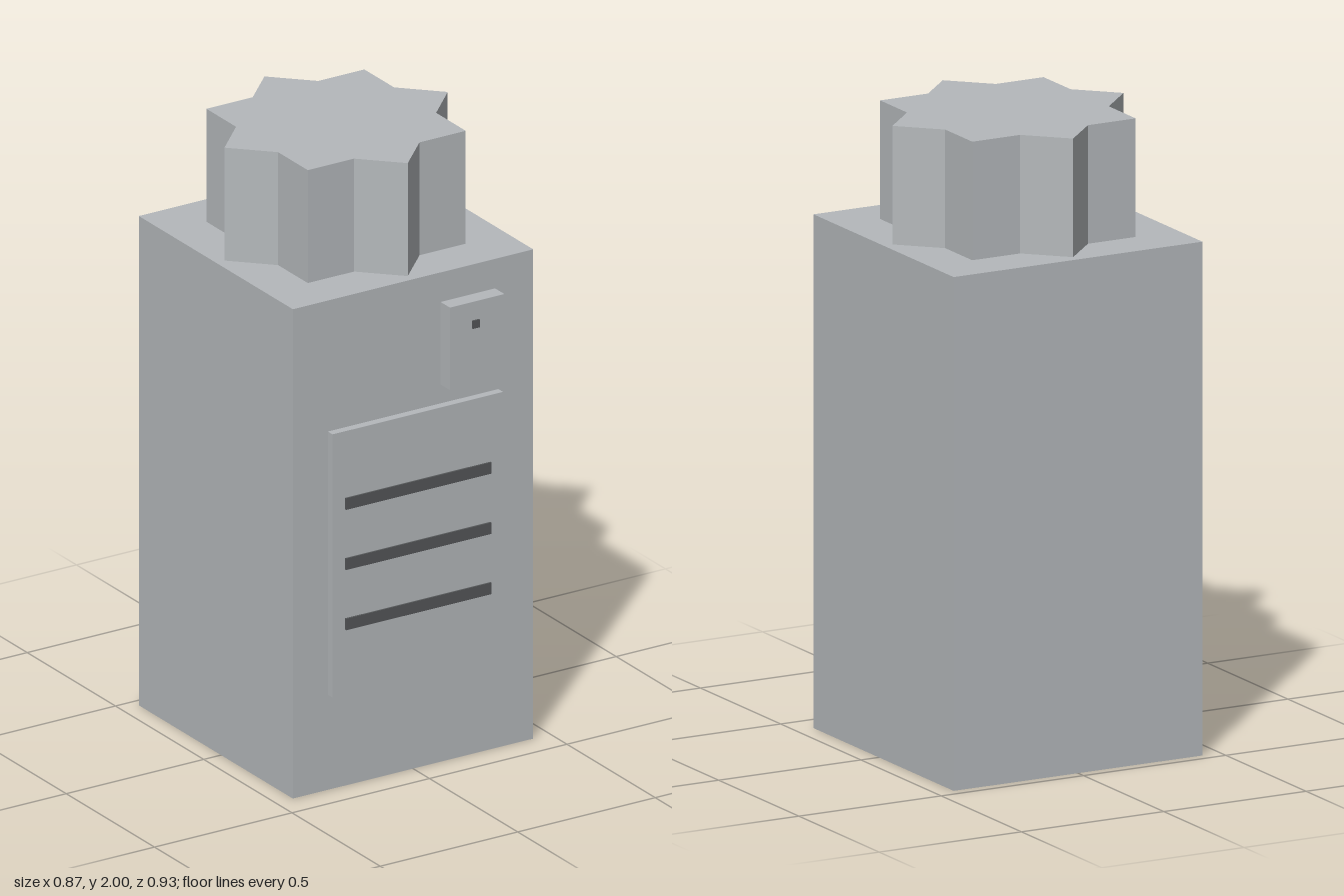
import * as THREE from 'three';

export function createModel() {
  const model = new THREE.Group();
  const grey = new THREE.MeshStandardMaterial({ color: 0xb4b8bb });
  grey.name = 'light grey metal';
  const dark = new THREE.MeshStandardMaterial({ color: 0x545658 });
  dark.name = 'dark grey';

  // Box given by its lower and upper corners
  function box(name, material, [x0, y0, z0], [x1, y1, z1]) {
    const mesh = new THREE.Mesh(new THREE.BoxGeometry(x1 - x0, y1 - y0, z1 - z0), material);
    mesh.position.set((x0 + x1) / 2, (y0 + y1) / 2, (z0 + z1) / 2);
    mesh.name = name;
    model.add(mesh);
  }

  const front = 0.407;
  const bodyTop = 1.625;
  box('body', grey, [-0.437, 0, -0.466], [0.437, bodyTop, front]);

  // Front panel with three slots
  box('frontPanel', grey, [-0.31, 0.316, front], [0.31, 1.19, 0.434]);
  for (const y of [0.55, 0.75, 0.95]) {
    box('slot', dark, [-0.264, y - 0.019, 0.434], [0.264, y + 0.019, 0.44]);
  }

  // Small control box with a dark button
  box('controlBox', grey, [0.1, 1.253, front], [0.298, 1.527, 0.46]);
  box('button', dark, [0.18, 1.44, 0.46], [0.205, 1.466, 0.466]);

  // Eight-pointed star block on top: two squares turned 45 degrees to each other
  const star = new THREE.Shape();
  for (let i = 0; i < 16; i++) {
    const radius = i % 2 ? 0.311 : 0.406;
    const angle = (i * Math.PI) / 8;
    const x = radius * Math.cos(angle);
    const y = radius * Math.sin(angle);
    if (i === 0) star.moveTo(x, y);
    else star.lineTo(x, y);
  }
  star.closePath();
  const cap = new THREE.Mesh(
    new THREE.ExtrudeGeometry(star, { depth: 2 - bodyTop, bevelEnabled: false }),
    grey
  );
  cap.rotation.x = -Math.PI / 2;
  cap.position.set(0, bodyTop, -0.029);
  cap.name = 'starCap';
  model.add(cap);

  return model;
}
